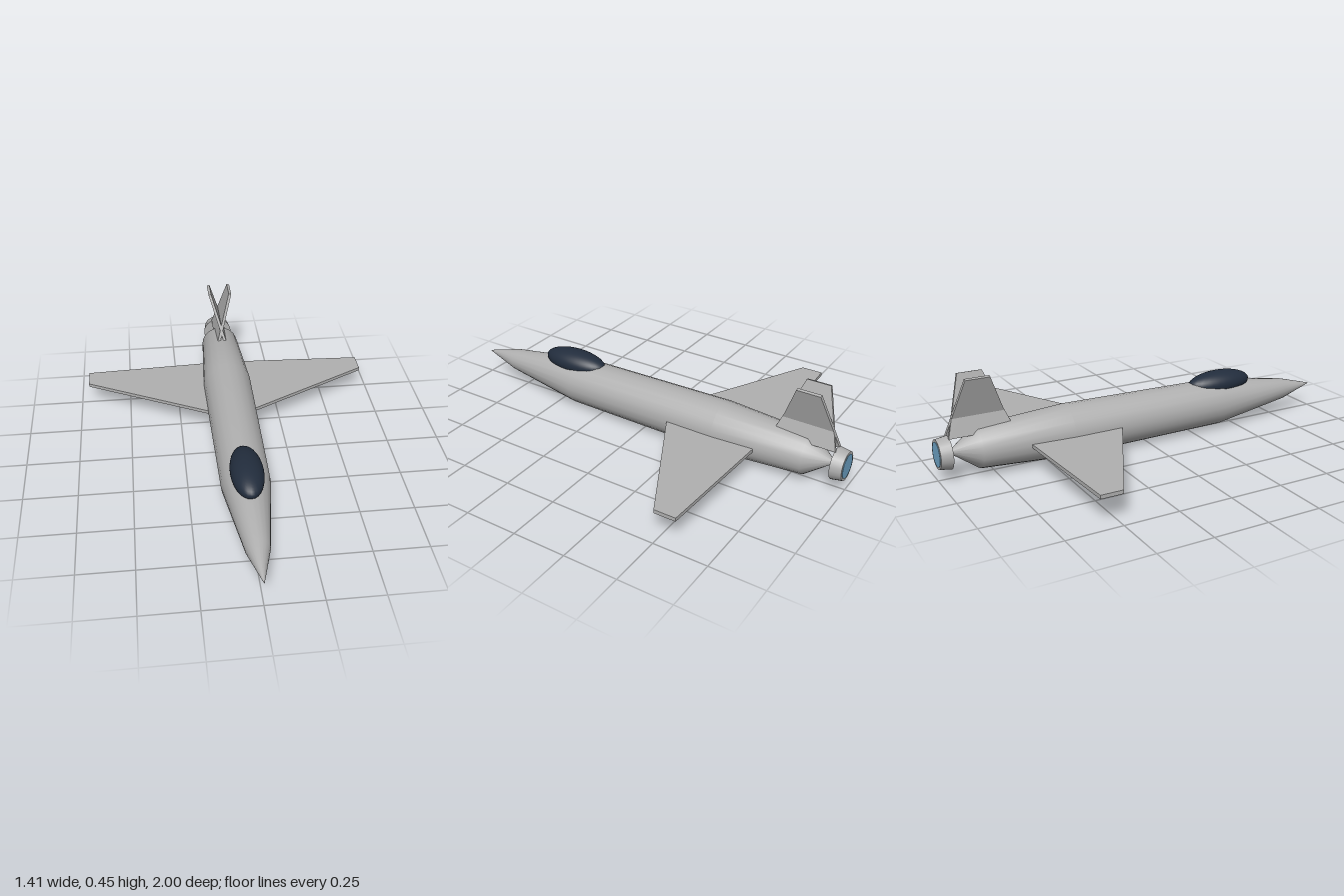
import * as THREE from 'three';

const AXIS_Y = 0.125; // height of the fuselage centre line

export function createModel() {
  const mat = (name, color) => {
    const m = new THREE.MeshStandardMaterial({ color });
    m.name = name;
    return m;
  };
  const grey = mat('hull grey', 0xb0b0b0);
  const glass = mat('dark canopy', 0x222d3d);
  const blue = mat('exhaust blue', 0x6fa5c8);

  const model = new THREE.Group();
  model.name = 'jet';
  const add = (name, geometry, material) => {
    const mesh = new THREE.Mesh(geometry, material);
    mesh.name = name;
    model.add(mesh);
    return mesh;
  };
  const shapeOf = (pts) => new THREE.Shape(pts.map(([x, y]) => new THREE.Vector2(x, y)));

  // Bodies of revolution along z, as [radius, z] from tail to nose
  const lathe = (profile, segments) =>
    new THREE.LatheGeometry(profile.map(([r, z]) => new THREE.Vector2(r, z)), segments)
      .rotateX(Math.PI / 2);

  add('fuselage', lathe([
    [0, -0.95], [0.094, -0.82], [0.121, -0.4], [0.112, 0.4], [0.053, 0.81], [0, 1],
  ], 20), grey).position.y = AXIS_Y;

  // Canopy: flattened ellipsoid cut off at its base
  const canopy = add('canopy',
    new THREE.SphereGeometry(1, 28, 14, 0, Math.PI * 2, 0, Math.PI * 0.6), glass);
  canopy.scale.set(0.074, 0.058, 0.17);
  canopy.position.set(0, 0.222, 0.43);

  // Engine nozzle with glowing exhaust disc
  const nozzle = add('nozzle', new THREE.CylinderGeometry(0.074, 0.066, 0.053, 24), grey);
  nozzle.rotation.x = Math.PI / 2;
  nozzle.position.set(0, AXIS_Y, -0.9715);
  const exhaust = add('exhaust', new THREE.CylinderGeometry(0.055, 0.055, 0.004, 24), blue);
  exhaust.rotation.x = Math.PI / 2;
  exhaust.position.set(0, AXIS_Y, -0.998);

  for (const [label, side] of [['left', 1], ['right', -1]]) {
    // Tapered wing, outline drawn in x and z
    const wing = shapeOf([
      [0, -0.108], [0.705, -0.475], [0.705, -0.577], [0, -0.61],
    ].map(([x, z]) => [x * side, z]));
    add(label + 'Wing', new THREE.ExtrudeGeometry(wing, { depth: 0.017, bevelEnabled: false })
      .rotateX(Math.PI / 2), grey).position.y = 0.131;

    // Canted tail fin, outline drawn in z and y about the line where both fins cross
    const fin = shapeOf([
      [-0.655, -0.086], [-0.95, -0.086], [-0.872, 0.186], [-0.762, 0.186],
    ]);
    const finMesh = add(label + 'Fin',
      new THREE.ExtrudeGeometry(fin, { depth: 0.014, bevelEnabled: false })
        .translate(0, 0, -0.007).rotateY(-Math.PI / 2), grey);
    finMesh.position.y = 0.275;
    finMesh.rotation.z = -side * 0.29;
  }
  return model;
}
